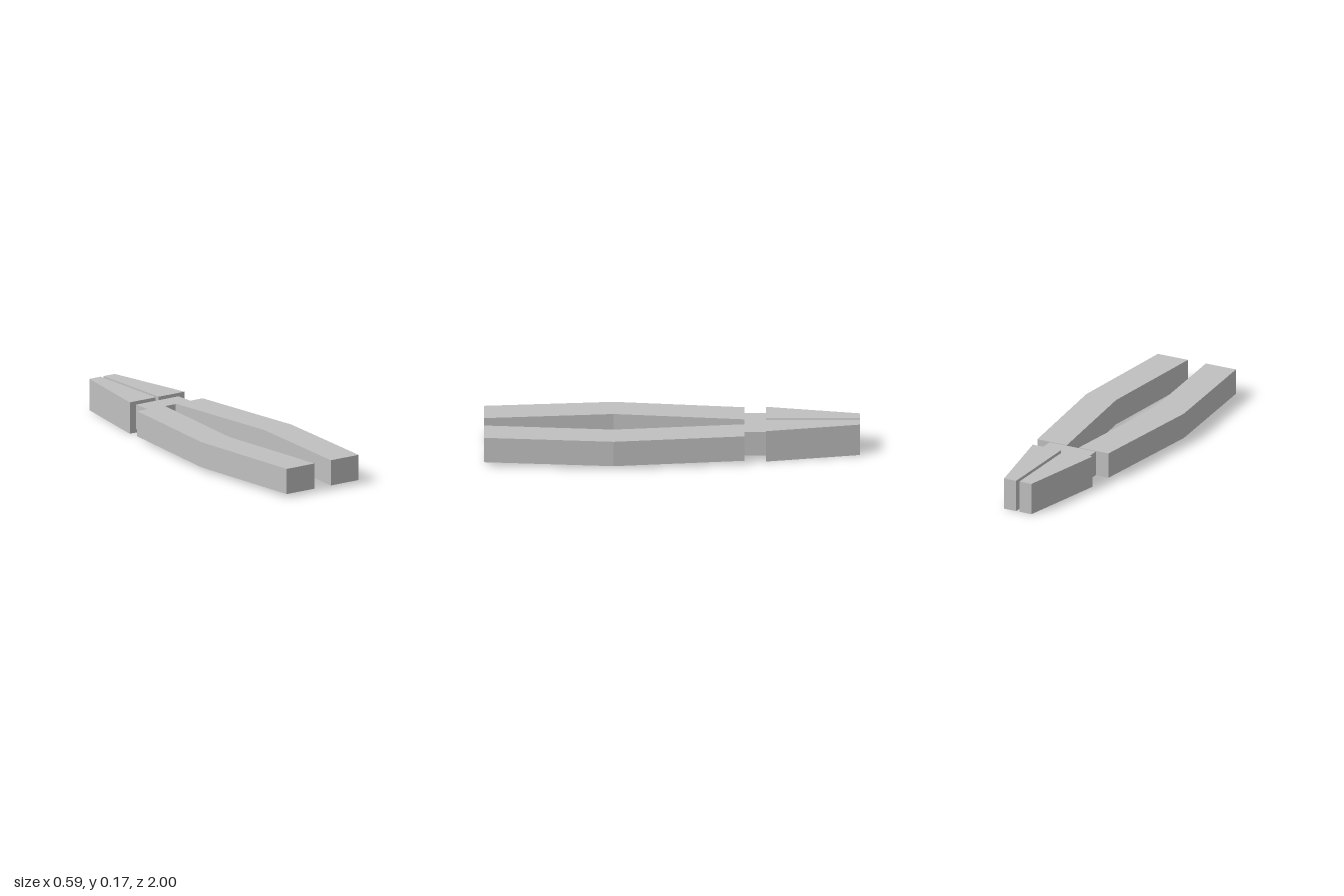
import * as THREE from 'three';

const steel = new THREE.MeshStandardMaterial({ color: 0xc0c0c0 });
steel.name = 'steelGrey';

// Flat plan outline of [x, z] points, extruded upward from y0 to y1
function slab(name, points, y0, y1) {
  const shape = new THREE.Shape(points.map(([x, z]) => new THREE.Vector2(x, -z)));
  const geometry = new THREE.ExtrudeGeometry(shape, { depth: y1 - y0, bevelEnabled: false });
  geometry.rotateX(-Math.PI / 2);
  geometry.translate(0, y0, 0);
  const mesh = new THREE.Mesh(geometry, steel);
  mesh.name = name;
  return mesh;
}

export function createModel() {
  const group = new THREE.Group();
  group.name = 'pliers';

  // Plan outlines of the left half
  const handle = [
    [0.036, -0.385], [0.215, -0.385], [0.295, 0.31],
    [0.236, 1], [0.054, 1], [0.115, 0.31],
  ];
  const jaw = [[0.01, -0.5], [0.18, -0.5], [0.083, -1], [0.01, -1]];

  // Mirrored handles and tapered jaws
  for (const [side, s] of [['left', 1], ['right', -1]]) {
    const mirror = (points) => points.map(([x, z]) => [x * s, z]);
    group.add(slab(side + 'Handle', mirror(handle), 0.018, 0.157));
    group.add(slab(side + 'Jaw', mirror(jaw), 0, 0.173));
  }

  // Joint block bridging handles and jaws
  const joint = new THREE.Mesh(new THREE.BoxGeometry(0.28, 0.134, 0.115), steel);
  joint.name = 'joint';
  joint.position.set(0, 0.087, -0.4425);
  group.add(joint);

  return group;
}
